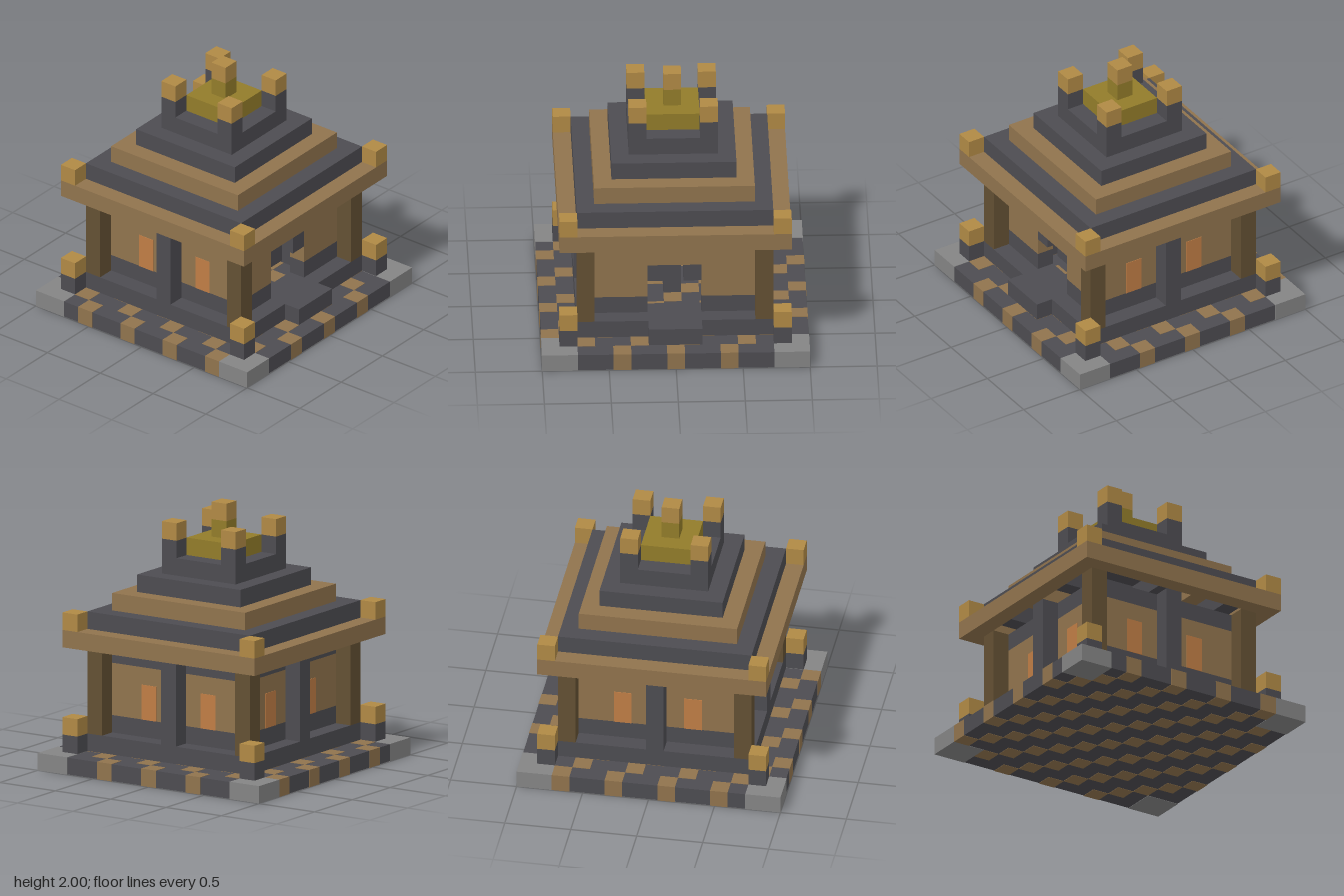
import * as THREE from 'three';

const U = 2 / 15; // edge of one block

const mat = (name, color) => Object.assign(new THREE.MeshStandardMaterial({ color }), { name });

export function createModel() {
  const model = new THREE.Group();
  model.name = 'shrine';
  const dark = mat('dark stone', 0x4d4c51);
  const brown = mat('brown wood', 0x90734d);
  const gold = mat('gold', 0xb08945);
  const olive = mat('old brass', 0x927c2a);
  const grey = mat('grey stone', 0x848484);
  const timber = mat('dark timber', 0x635033);
  const amber = mat('amber window', 0xbf7d45);

  // Box in block units: size w,h,d, centred on x,z with its bottom at y
  const block = (name, m, w, h, d, x, y, z, parent = model) => {
    const mesh = new THREE.Mesh(new THREE.BoxGeometry(w * U, h * U, d * U), m);
    mesh.position.set(x * U, (y + h / 2) * U, z * U);
    mesh.name = name;
    parent.add(mesh);
    return mesh;
  };

  // Square ring, n blocks wide outside, t blocks thick; gap opens the front side
  const ring = (name, m, n, y, h, t = 1, gap = 0) => {
    const g = new THREE.Group();
    g.name = name;
    const c = (n - t) / 2;
    block(name + 'Back', m, n, h, t, 0, y, -c, g);
    for (const s of [-1, 1]) {
      block(name + 'Side', m, t, h, n - 2 * t, s * c, y, 0, g);
      if (gap) block(name + 'Front', m, (n - gap) / 2, h, t, s * (n + gap) / 4, y, c, g);
    }
    if (!gap) block(name + 'Front', m, n, h, t, 0, y, c, g);
    model.add(g);
  };

  // The same block at all four corners
  const corners = (name, m, size, h, c, y) => {
    for (const x of [-c, c]) for (const z of [-c, c]) block(name, m, size, h, size, x, y, z);
  };

  // Base slab with grey corners and a diagonal pattern of brown tiles
  const e = 0.02;
  block('baseSlab', dark, 15 - 2 * e, 1 - 2 * e, 15 - 2 * e, 0, e, 0);
  corners('baseCorner', grey, 2, 1, 6.5, 0);
  for (let i = 0; i < 15; i++) {
    for (let k = 0; k < 15; k++) {
      const corner = (i < 2 || i > 12) && (k < 2 || k > 12);
      if ((i + k) % 3 === 0 && !corner) block('baseTile', brown, 1, 1, 1, i - 7, 0, k - 7);
    }
  }

  // Plinth, entrance step and corner lanterns
  ring('plinth', dark, 11, 1, 1, 2);
  block('entranceStep', dark, 3, 1, 1, 0, 1, 6);
  corners('lanternBase', dark, 1, 1, 6, 1);
  corners('lantern', gold, 1, 1, 6, 2);

  // Walls in bands, with the doorway left open at the front
  ring('lowerWall', dark, 9, 2, 1, 1, 3);
  ring('middleWall', brown, 9, 3, 2, 1, 3);
  ring('upperWall', brown, 9, 5, 1);
  ring('wallTop', dark, 9, 6, 1);
  for (const x of [-1, 1]) block('doorCorner', dark, 1, 1, 1, x, 4, 4);

  // Corner columns
  corners('column', timber, 1, 5, 5, 2);

  // Pillar and two windows on the back and both sides
  for (const turn of [1, 2, 3]) {
    const side = new THREE.Group();
    side.name = 'wallDetails';
    side.rotation.y = turn * Math.PI / 2;
    block('pillar', dark, 1, 5, 1, 0, 2, 5, side);
    for (const x of [-2, 2]) block('window', amber, 1, 2, 1.06, x, 3, 4, side);
    model.add(side);
  }

  // Altar inside
  block('altarBase', dark, 1, 2, 1, 0, 1, 0);
  block('altar', grey, 1, 1, 1, 0, 3, 0);
  block('altarTop', gold, 1, 1, 1, 0, 4, 0);

  // Stepped roof of hollow rings
  ring('eaves', brown, 13, 7, 1);
  corners('eavesFinial', gold, 1, 1, 6, 8);
  ring('roofStep1', dark, 11, 8, 1);
  ring('roofStep2', brown, 9, 9, 1);
  ring('roofStep3', dark, 7, 10, 1);
  ring('roofStep4', dark, 5, 11, 1);

  // Crown of the roof
  corners('crownPost', dark, 1, 1, 2, 12);
  corners('crownTip', gold, 1, 1, 2, 13);
  block('crownPlate', olive, 3, 1, 3, 0, 12, 0);
  block('spire', olive, 1, 1, 1, 0, 13, 0);
  block('spireTip', gold, 1, 1, 1, 0, 14, 0);

  return model;
}
